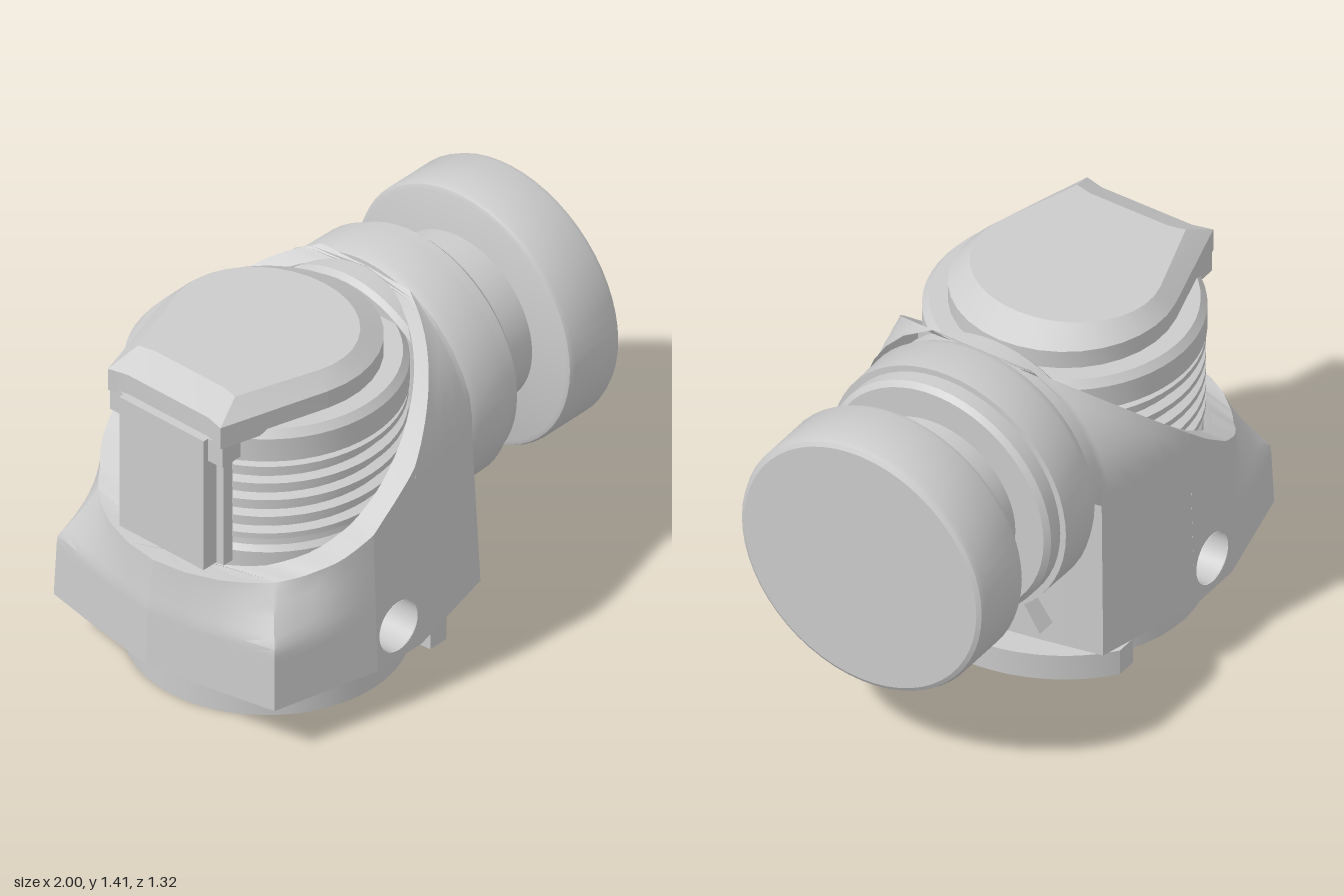
import * as THREE from 'three';
import { toCreasedNormals } from 'three/addons/utils/BufferGeometryUtils.js';

const CX = -0.34, AXIS = 0.87, BORE = 0.54; // vertical axis x, barrel height, socket radius
const mat = new THREE.MeshStandardMaterial({ color: 0xcccccc, side: THREE.DoubleSide });
const { clamp, lerp, smoothstep } = THREE.MathUtils;

function add(group, name, geometry, crease = 0.5) {
  const mesh = new THREE.Mesh(toCreasedNormals(geometry, crease), mat);
  mesh.name = name;
  group.add(mesh);
  return mesh;
}

const lathe = (pts, n = 48) =>
  new THREE.LatheGeometry(pts.map(p => new THREE.Vector2(...p)), n);

// Piecewise linear curve through [x, y] points
function curve(pts, x) {
  for (let i = 1; i < pts.length; i++) {
    const [x0, y0] = pts[i - 1], [x1, y1] = pts[i];
    if (x <= x1) return lerp(y0, y1, clamp((x - x0) / (x1 - x0), 0, 1));
  }
  return pts[pts.length - 1][1];
}

// Sheet through rows of points
function sheet(rows, flip) {
  const pos = [], m = rows[0].length;
  for (let i = 0; i + 1 < rows.length; i++) for (let j = 0; j + 1 < m; j++) {
    const a = rows[i][j], b = rows[i + 1][j], c = rows[i + 1][j + 1], d = rows[i][j + 1];
    for (const p of flip ? [a, c, b, a, d, c] : [a, b, c, a, c, d]) pos.push(...p);
  }
  const g = new THREE.BufferGeometry();
  g.setAttribute('position', new THREE.Float32BufferAttribute(pos, 3));
  return g;
}

// Half width of the eight-sided footprint, and height of the sloping cut
const foot = x => curve([[0, 0.66], [0.12, 0.66], [0.56, 0.55], [0.61, 0.3], [0.66, 0]], Math.abs(x - CX));
const cut = x => curve([[-1, 0.65], [-0.9, 0.66], [-0.75, 0.68], [-0.6, 0.73], [-0.46, 0.8],
  [-0.33, 0.89], [-0.15, 1.04], [0, 1.17], [0.25, 1.39]], x);

// Outer wall: tapers upward, rounds into the barrel at the right and into the rim at the left
function wall(x, y, side) {
  const s = 1 - 0.06 * (Math.min(y, AXIS) - 0.2);
  let dx = (x - CX) * s, z = foot(x) * s;
  if (y > AXIS) {
    const r = lerp(0.64, 0.54, clamp((x + 0.22) / 0.42, 0, 1));
    z = Math.min(z, Math.sqrt(Math.max(0, r * r - (y - AXIS) ** 2)));
  }
  const t = clamp((y - 0.46) / 0.2, 0, 1) * smoothstep(-0.46 - x, 0, 0.3);
  const k = lerp(1, Math.min(1, 0.62 / Math.hypot(dx, z)), t);
  return [CX + dx * k, y, z * k * side];
}

function range(a, b, n) {
  return Array.from({ length: n + 1 }, (_, i) => lerp(a, b, i / n));
}

function buildBody() {
  const body = new THREE.Group();
  body.name = 'body';
  const left = [-1, -0.975, -0.95, -0.925, -0.9, -0.88, -0.87, -0.85, -0.82, ...range(-0.78, -0.46, 8)];
  const mid = range(-0.46, -0.22, 6);
  const right = [...range(-0.22, 0.1, 10), 0.13, 0.16, 0.18, 0.19, 0.2, 0.22];
  const end = [0.22, 0.27, 0.32];
  for (const side of [1, -1]) {
    const column = (x, top) => range(0.2, top, 14).map(y => wall(x, y, side));
    const inner = (x, y) => {
      const xi = clamp(x, CX - BORE, CX + BORE);
      return [xi, y, side * Math.sqrt(Math.max(0, BORE * BORE - (xi - CX) ** 2))];
    };
    const flip = side < 0;
    add(body, 'leftWall', sheet(left.map(x => column(x, cut(x))), flip));
    add(body, 'rightWall', sheet(right.map(x => column(x, cut(x))), flip));
    add(body, 'endWall', sheet(end.map(x => column(x, 0.87)), flip));
    // Flat middle panel with the cross hole
    const panel = new THREE.Shape();
    panel.moveTo(-0.46, 0.2).lineTo(-0.22, 0.2);
    [...mid].reverse().forEach(x => panel.lineTo(x, cut(x)));
    panel.holes.push(new THREE.Path().absarc(CX, 0.34, 0.105, 0, Math.PI * 2, true));
    const g = new THREE.ShapeGeometry(panel, 16).toNonIndexed();
    const p = g.attributes.position;
    for (let i = 0; i < p.count; i++) p.setXYZ(i, ...wall(p.getX(i), p.getY(i), side));
    add(body, 'holePanel', g);
    const tube = new THREE.CylinderGeometry(0.105, 0.105, 0.37, 32, 1, true);
    add(body, 'crossHole', tube.rotateX(Math.PI / 2).translate(CX, 0.34, side * 0.468));
    // Sloping rim and round socket
    const all = [...left, ...mid.slice(1), ...right.slice(1)];
    add(body, 'rim', sheet(all.map(x => [wall(x, cut(x), side), inner(x, cut(x))]), flip));
    add(body, 'socket', sheet(all.map(x => [inner(x, cut(x)), inner(x, 0.6)]), flip));
    // Inner bore sectors, open where the cross hole passes
    const gap = 0.36;
    const sector = new THREE.CylinderGeometry(0.3, 0.3, 0.21, 20, 1, true,
      gap + (flip ? Math.PI : 0), Math.PI - 2 * gap);
    add(body, 'boreWall', sector.translate(CX, 0.34, 0));
  }
  // Underside
  const under = new THREE.Shape();
  const edge = [-0.66, -0.61, -0.56, -0.12, 0.12, 0.56, 0.61, 0.66].map(d => [CX + d, foot(CX + d)]);
  under.setFromPoints([...edge, ...edge.slice(1, -1).reverse().map(([x, z]) => [x, -z])]
    .map(q => new THREE.Vector2(...q)));
  under.holes.push(new THREE.Path().absarc(CX, 0, 0.3, 0, Math.PI * 2, true));
  add(body, 'underside', new THREE.ShapeGeometry(under, 24).rotateX(Math.PI / 2).translate(0, 0.2, 0));
  add(body, 'upperBore', new THREE.CylinderGeometry(0.3, 0.3, 0.16, 40, 1, true).translate(CX, 0.525, 0));
  // Web under the barrel
  const web = new THREE.Shape([[-0.35, 0.29], [0.35, 0.29], [0.26, 0.43], [-0.26, 0.43]]
    .map(q => new THREE.Vector2(...q)));
  add(body, 'web', new THREE.ExtrudeGeometry(web, { depth: 0.14, bevelEnabled: false })
    .rotateY(Math.PI / 2).translate(0.2, 0, 0));
  return body;
}

function buildBase() {
  const base = new THREE.Group();
  base.name = 'base';
  add(base, 'baseRing', lathe([[0.27, 0.235], [0.27, 0.1], [0.3, 0.1], [0.3, 0], [0.53, 0], [0.53, 0.2]])
    .translate(CX, 0, 0));
  // Locking tab: part of a wider ring
  const a = Math.asin(0.52 / 0.66);
  const tab = new THREE.Shape();
  tab.moveTo(0.2, -0.52).absarc(0, 0, 0.66, -a, a, false);
  tab.lineTo(0.32, 0.52).lineTo(0.32, 0.41).absarc(0, 0, 0.5, 0.9, -0.9, true);
  tab.lineTo(0.32, -0.52);
  const fixed = new THREE.Shape();
  fixed.moveTo(0.32, -0.52).lineTo(0.66 * Math.cos(a), -0.52).absarc(0, 0, 0.66, -a, a, false);
  fixed.lineTo(0.32, 0.52).absarc(0, 0, 0.5, 0.9, -0.9, true);
  add(base, 'lockingTab', new THREE.ExtrudeGeometry(fixed, { depth: 0.11, bevelEnabled: false, curveSegments: 24 })
    .rotateX(-Math.PI / 2).translate(CX, 0.002, 0));
  return base;
}

function buildPlug() {
  const plug = new THREE.Group();
  plug.name = 'plug';
  // Ribbed cylinder
  const profile = [[0, 0.6], [0.51, 0.6], [0.51, 0.72], [0.49, 0.74]];
  for (let i = 0; i < 5; i++) {
    const y = 0.8 + i * 0.075;
    profile.push([0.485, y - 0.022], [0.52, y - 0.012], [0.52, y + 0.012], [0.485, y + 0.022]);
  }
  profile.push([0.485, 1.13], [0.525, 1.14], [0.525, 1.24], [0.5, 1.27], [0.43, 1.27], [0, 1.27]);
  add(plug, 'ribbedPlug', lathe(profile, 56).translate(CX, 0, 0));
  // Cap: round at the right, tapering to a straight left end, bevelled on top
  const cap = new THREE.Shape();
  cap.moveTo(-0.9, -0.28).lineTo(-0.46, -0.413).absarc(CX, 0, 0.43, -1.85, 1.85, false);
  cap.lineTo(-0.9, 0.28).lineTo(-0.88, 0.2).lineTo(-0.88, -0.2);
  const g = new THREE.ExtrudeGeometry(cap, { depth: 2, steps: 2, bevelEnabled: false, curveSegments: 10 })
    .rotateX(-Math.PI / 2);
  const p = g.attributes.position;
  for (let i = 0; i < p.count; i++) {
    const level = Math.round(p.getY(i));
    const top = level === 2;
    p.setXYZ(i, -0.39 + (p.getX(i) + 0.39) * (top ? 0.76 : 1),
      [1.25, 1.345, 1.405][level], p.getZ(i) * (top ? 0.86 : 1));
  }
  add(plug, 'cap', g, 0.3);
  // Upright latch plate at the left, with two ears under the cap
  add(plug, 'latchPlate', new THREE.BoxGeometry(0.14, 0.58, 0.42).translate(-0.845, 0.97, 0));
  for (const side of [1, -1]) {
    add(plug, 'latchEar', new THREE.BoxGeometry(0.1, 0.1, 0.1).translate(-0.84, 1.21, side * 0.23));
    add(plug, 'latchEdge', new THREE.BoxGeometry(0.05, 0.5, 0.04).translate(-0.82, 0.93, side * 0.225));
  }
  return plug;
}

function buildBarrel() {
  const barrel = new THREE.Group();
  barrel.name = 'barrel';
  const turn = pts => lathe(pts.map(([r, x]) => [r, x]), 56).rotateZ(-Math.PI / 2).translate(0, AXIS, 0);
  add(barrel, 'barrelLiner', turn([[0, 0.1], [0.47, 0.1], [0.49, 0.12], [0.49, 0.26]]));
  add(barrel, 'barrelSleeve', turn([[0.49, 0.21], [0.505, 0.21], [0.523, 0.25], [0.52, 0.42], [0.48, 0.42]]));
  add(barrel, 'collar', turn([[0.47, 0.42], [0.495, 0.42], [0.495, 0.48], [0.475, 0.5], [0.34, 0.5]]));
  add(barrel, 'neck', turn([[0.35, 0.5], [0.35, 0.72]]));
  add(barrel, 'knob', turn([[0, 0.72], [0.515, 0.72], [0.532, 0.727], [0.54, 0.745],
    [0.54, 0.97], [0.532, 0.99], [0.515, 1], [0, 1]]));
  return barrel;
}

export function createModel() {
  const model = new THREE.Group();
  model.name = 'angleConnector';
  model.add(buildBody(), buildBase(), buildPlug(), buildBarrel());
  return model;
}
